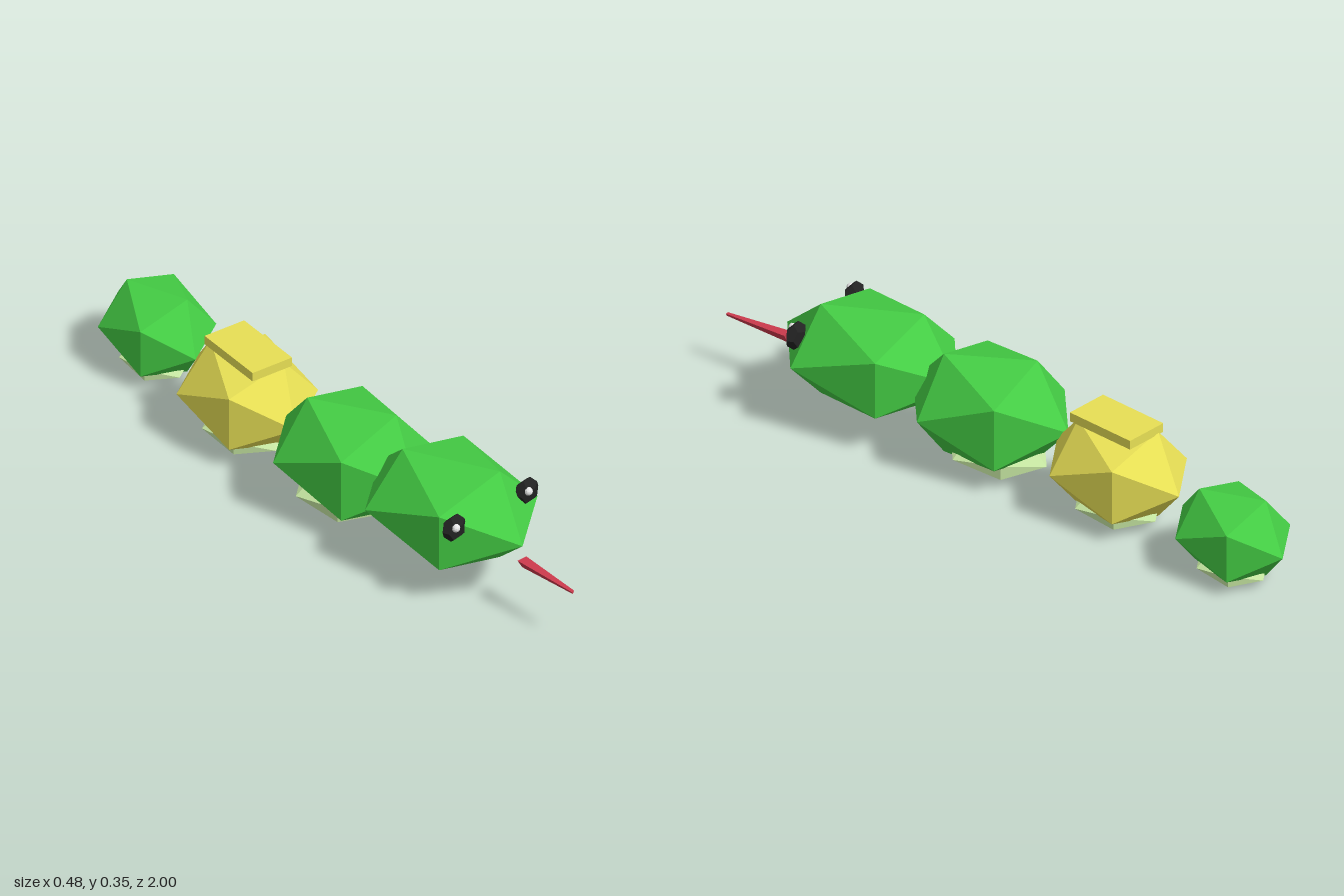
import * as THREE from 'three';

function mat(name, color) {
  const m = new THREE.MeshStandardMaterial({ color });
  m.name = name;
  return m;
}

export function createModel() {
  const group = new THREE.Group();
  const green = mat('green', 0x44cc44);
  const yellow = mat('yellow', 0xe8e055);
  const belly = mat('belly', 0xc4e4a0);
  const red = mat('tongueRed', 0xcc3a4c);
  const black = mat('eyeBlack', 0x222222);
  const white = mat('white', 0xffffff);

  function add(name, geometry, material, x, y, z, parent = group) {
    const mesh = new THREE.Mesh(geometry, material);
    mesh.name = name;
    mesh.position.set(x, y, z);
    parent.add(mesh);
    return mesh;
  }

  // icosahedron stretched along two horizontal directions u and w ([x, z]), half height h
  function gem(u, w, h) {
    const k = 0.8507;
    return new THREE.IcosahedronGeometry(1, 0).applyMatrix4(new THREE.Matrix4().makeBasis(
      new THREE.Vector3(u[0] / k, 0, u[1] / k),
      new THREE.Vector3(0, h / k, 0),
      new THREE.Vector3(w[0] / k, 0, w[1] / k)));
  }

  // faceted body pieces, front to back; plateShift moves the belly plate along z
  const segments = [
    { name: 'head', at: [-0.045, 0.207, 0.495], u: [0.09, 0.22], w: [-0.17, 0.121], h: 0.143, m: green },
    { name: 'frontBody', at: [-0.03, 0.176, 0.09], u: [0.091, 0.193], w: [-0.158, 0.115], h: 0.157, m: green, plateShift: -0.025 },
    { name: 'middleBody', at: [0.015, 0.147, -0.365], u: [0.052, 0.182], w: [-0.153, 0.08], h: 0.136, m: yellow, plateShift: 0 },
    { name: 'tail', at: [0.102, 0.123, -0.805], u: [0.037, 0.155], w: [-0.137, 0.07], h: 0.12, m: green, plateShift: 0 },
  ];
  for (const s of segments) {
    add(s.name, gem(s.u, s.w, s.h), s.m, ...s.at);
    if (s.plateShift === undefined) continue;
    // flat belly plate hugging the underside
    const h = s.h * 0.22;
    const plate = gem(s.u.map(v => v * 0.62), s.w.map(v => v * 0.74), h);
    add(s.name + 'BellyPlate', plate, belly, s.at[0], s.at[1] - s.h - 0.003 + h, s.at[2] + s.plateShift);
  }

  // slab on the yellow piece
  const slab = add('backSlab', new THREE.BoxGeometry(0.135, 0.028, 0.23), yellow, 0.0125, 0.289, -0.358);
  slab.rotation.y = -0.17;

  // eyes with glints
  for (const [name, x, z] of [['rightEye', -0.195, 0.655], ['leftEye', 0.079, 0.668]]) {
    const eye = new THREE.Group();
    eye.name = name;
    eye.position.set(x, 0.27, z);
    group.add(eye);
    const ball = new THREE.DodecahedronGeometry(1, 0).rotateY(0.2).scale(0.042, 0.042, 0.027);
    add('eyeball', ball, black, 0, 0, 0, eye);
    const glint = new THREE.IcosahedronGeometry(0.0125, 1);
    glint.computeVertexNormals();
    add('glint', glint, white, -0.013, 0.014, 0.02, eye);
  }

  // tapered three-sided tongue
  const tongueShape = new THREE.CylinderGeometry(0.006, 0.019, 0.21, 3).toNonIndexed();
  tongueShape.computeVertexNormals();
  tongueShape.rotateX(Math.PI / 2).rotateY(-0.05);
  add('tongue', tongueShape, red, -0.068, 0.158, 0.895);

  return group;
}
